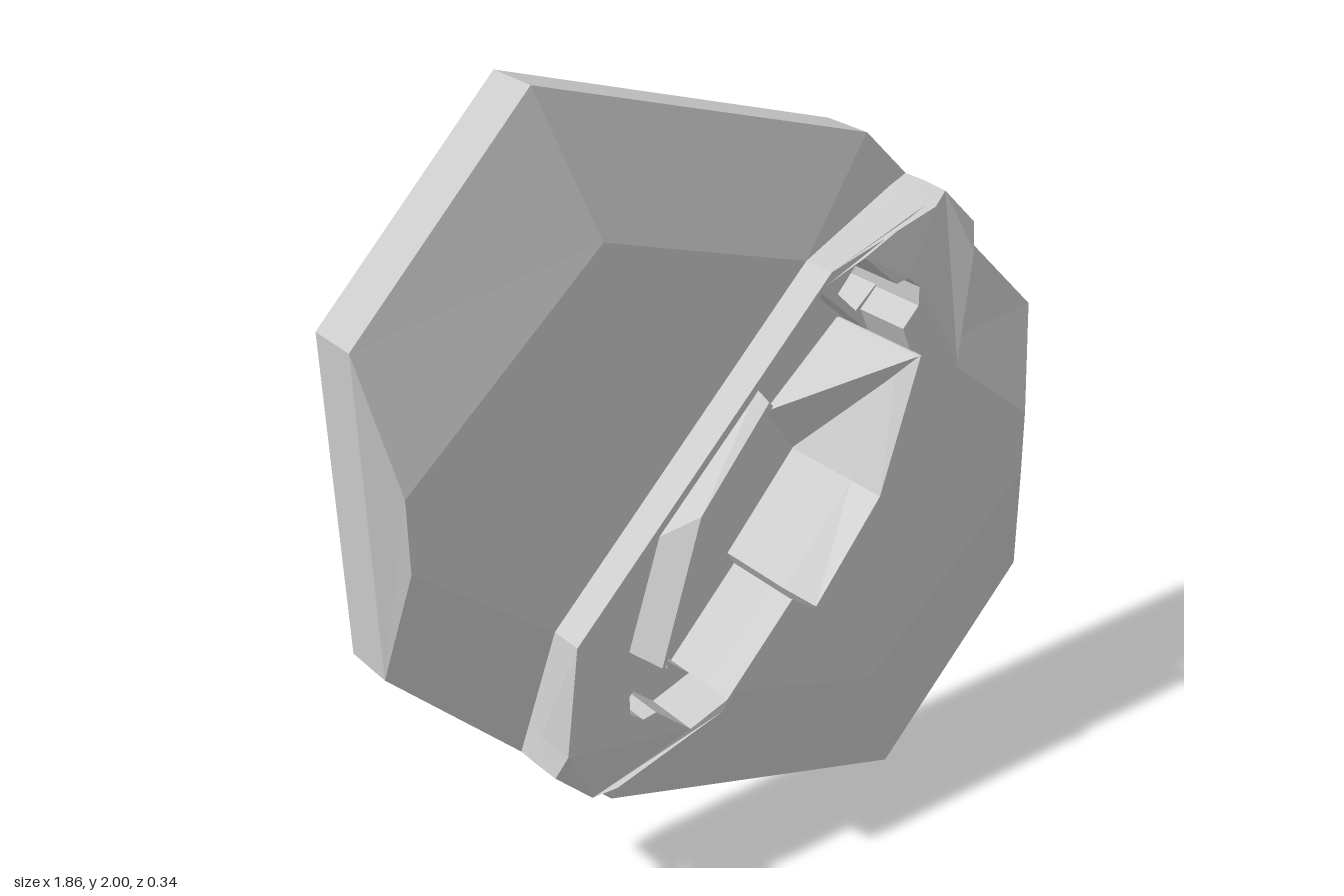
import * as THREE from 'three';

const stone = new THREE.MeshStandardMaterial({ color: 0xcacaca });
stone.name = 'lightGrey';

// Every outline below is measured from the middle of the plate.
const toV2 = (pts) => pts.map(([x, y]) => new THREE.Vector2(x, y));
const turned = (pts) => pts.map(([x, y]) => [-x, -y]);
const bothEnds = (pts) => [...pts, ...turned(pts)];

// Outlines are listed clockwise, so reverse them for the shape
function slab(outline, holes, z0, z1, steps = 1) {
  const shape = new THREE.Shape(toV2(outline).reverse());
  shape.holes = holes.map((h) => new THREE.Path(toV2(h)));
  const g = new THREE.ExtrudeGeometry(shape, { depth: z1 - z0, bevelEnabled: false, steps });
  return g.translate(0, 0, z0);
}

function fromTriangles(points) {
  const g = new THREE.BufferGeometry();
  g.setAttribute('position', new THREE.Float32BufferAttribute(points.flat(), 3));
  g.computeVertexNormals();
  return g;
}

// Convex facets that all look towards the front
function facets(polygons) {
  const out = [];
  for (const p of polygons) {
    for (let i = 1; i < p.length - 1; i++) {
      const [a, b, c] = [p[0], p[i], p[i + 1]];
      const area = (b[0] - a[0]) * (c[1] - a[1]) - (b[1] - a[1]) * (c[0] - a[0]);
      out.push(...(area > 0 ? [a, b, c] : [a, c, b]));
    }
  }
  return fromTriangles(out);
}

// Skin through counter-clockwise outlines at rising depths, closed at the front
function loft(levels) {
  const rings = levels.map(([pts, z]) => pts.map(([x, y]) => [x, y, z]));
  const out = [];
  for (let k = 0; k < rings.length - 1; k++) {
    const [lo, hi] = [rings[k], rings[k + 1]];
    lo.forEach((p, i) => {
      const j = (i + 1) % lo.length;
      out.push(p, lo[j], hi[j], p, hi[j], hi[i]);
    });
  }
  const top = rings[rings.length - 1];
  for (const t of THREE.ShapeUtils.triangulateShape(toV2(top), [])) out.push(...t.map((i) => top[i]));
  return fromTriangles(out);
}

export function createModel() {
  const model = new THREE.Group();
  model.name = 'mountingPlate';
  const body = new THREE.Group();
  body.name = 'plateAndBracket';
  body.position.y = 1;
  model.add(body);

  const add = (name, geometry, angle = 0) => {
    const mesh = new THREE.Mesh(geometry, stone);
    mesh.name = name;
    mesh.rotation.z = angle;
    body.add(mesh);
  };
  const addPair = (name, geometry) => {
    add(name + 'A', geometry);
    add(name + 'B', geometry, Math.PI);
  };

  const back = -0.172, floor = -0.11, rim = -0.04, face = 0.02;

  // Octagonal plate, pierced by two shafts, with a pocket in the middle
  const octagon = bothEnds([[-0.93, 0.56], [-0.495, 1], [0.37, 0.73], [0.92, 0.18]]);
  const shaft = [[0.295, 0.365], [0.35, 0.31], [0.41, 0.36], [0.41, 0.4], [0.38, 0.43], [0.345, 0.42]];
  const pocket = bothEnds([[0.14, 0.475], [0.39, 0.25], [0.32, 0]]);
  const shafts = [shaft, turned(shaft)];
  add('backSlab', slab(octagon, shafts, back, floor));
  add('rimSlab', slab(octagon, [pocket, ...shafts], floor, rim));

  // Raised facets either side of the bracket
  const A = [-0.93, 0.56, rim], B = [-0.495, 1, rim], C = [0.37, 0.73, rim], D = [0.49, 0.61, rim];
  const E = [0.15, 0.5, face], F = [-0.54, -0.18, face];
  const G = [-0.605, -0.495, rim], H = [-0.92, -0.18, rim];
  const a = [-0.87, 0.25, face], a2 = [-0.87, 0.08, face], b = [-0.38, 0.67, face];
  addPair('raisedFace', facets([
    [H, A, a, a2], [A, B, b, a], [B, C, E, b], [C, D, E], [b, E, F, a2, a], [H, a2, F, G],
  ]));

  // Bracket across the plate: notched ends whose tips narrow and drop a little
  const footprint = bothEnds([
    [0.15, 0.5], [0.435, 0.595], [0.49, 0.61], [0.605, 0.495], [0.59, 0.43], [0.54, 0.18],
  ]);
  const opening = bothEnds([
    [0.14, 0.475], [0.245, 0.51], [0.34, 0.425], [0.375, 0.43], [0.41, 0.4],
    [0.41, 0.355], [0.365, 0.31], [0.39, 0.25], [0.32, 0],
  ]);
  const bracket = slab(footprint, [opening], rim, 0.105, 2);
  const pos = bracket.attributes.position;
  for (let i = 0; i < pos.count; i++) {
    const x = pos.getX(i), y = pos.getY(i), z = pos.getZ(i);
    const along = x + y, across = (x - y) * 0.82;
    if (z > 0 && z < 0.1) pos.setZ(i, face);
    if (z > 0.1 && Math.abs(along) > 0.95) {
      pos.setXYZ(i, (along + across) / 2, (along - across) / 2, Math.abs(along) > 1.05 ? 0.08 : z);
    }
  }
  bracket.computeVertexNormals();
  add('bracket', bracket);

  // Bent fins standing in the pocket, with sloping faces
  const finBase = [[-0.36, -0.27], [-0.225, 0.03], [-0.03, 0.245], [-0.05, 0.28], [-0.325, 0.01], [-0.41, -0.24]];
  const finTop = [[-0.36, -0.27], [-0.25, 0.05], [-0.065, 0.272], [-0.075, 0.283], [-0.258, 0.07], [-0.368, -0.265]];
  addPair('fin', loft([[finBase, floor], [finBase, 0.1], [finTop, 0.172]]));

  // Wedge buttress running from each fin end down to the pocket floor
  const tip = [-0.355, -0.27, 0.172];
  const foot = [[-0.355, -0.27, floor], [-0.14, -0.09, floor], [-0.235, 0.04, floor]];
  addPair('buttress', fromTriangles([0, 1, 2].flatMap((i) => [foot[i], foot[(i + 1) % 3], tip])));

  return model;
}
